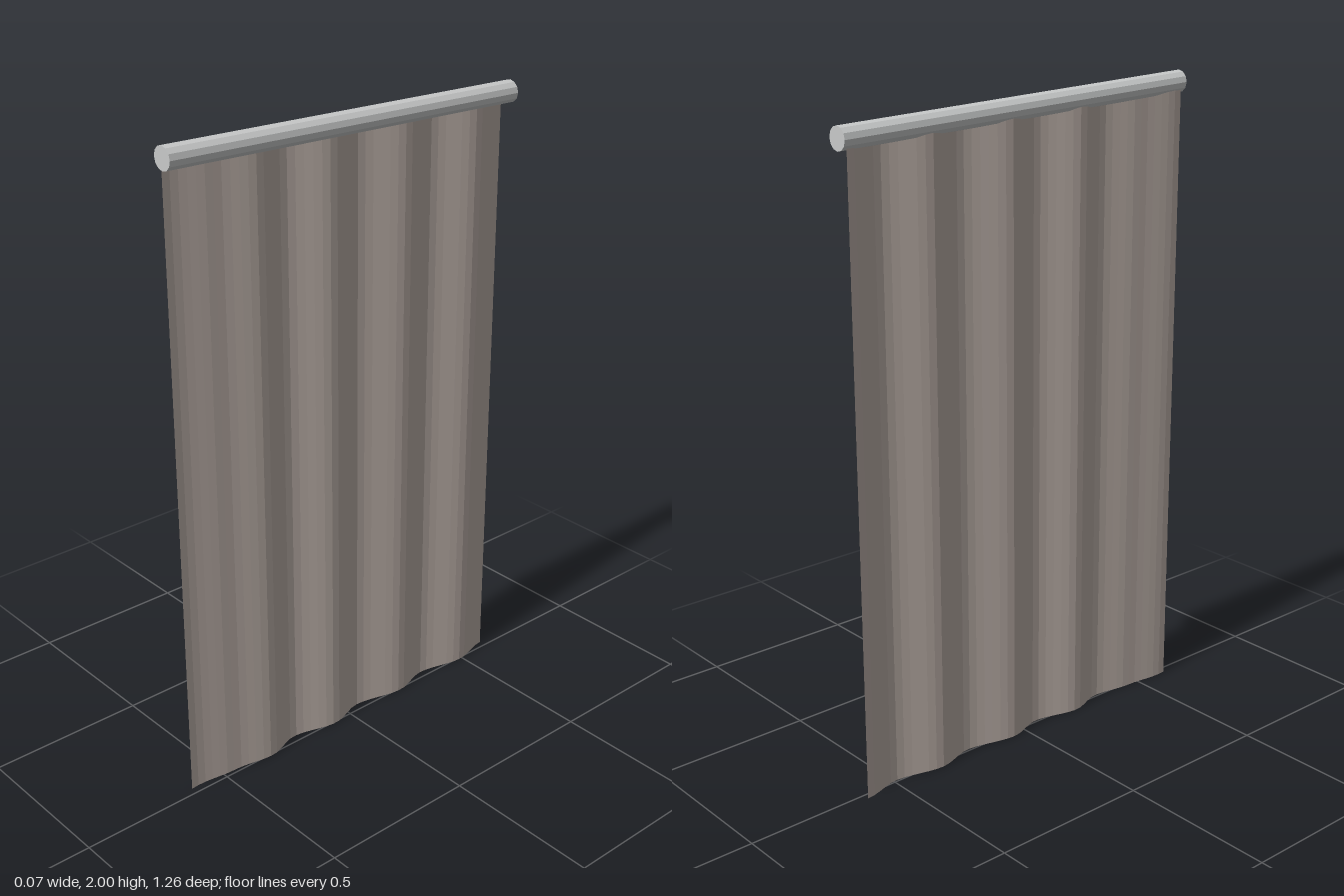
import * as THREE from 'three';

// Height of the sloping rod's axis at depth z
const rodY = (z) => 1.945 + 0.032 * z;

export function createModel() {
  const model = new THREE.Group();
  model.name = 'hangingCurtain';

  const metal = new THREE.MeshStandardMaterial({ color: 0xc8caca });
  metal.name = 'paleGreyMetal';
  metal.flatShading = true;
  const cloth = new THREE.MeshStandardMaterial({ color: 0xb9ada6, side: THREE.DoubleSide });
  cloth.name = 'beigeCloth';
  cloth.flatShading = true;

  // Rod: cylinder along z, sheared so its ends stay upright
  const rodGeo = new THREE.CylinderGeometry(0.034, 0.034, 1.256, 12).rotateX(Math.PI / 2);
  const rp = rodGeo.attributes.position;
  for (let i = 0; i < rp.count; i++) rp.setY(i, rp.getY(i) + rodY(rp.getZ(i)));
  rodGeo.computeVertexNormals();
  const rod = new THREE.Mesh(rodGeo, metal);
  rod.name = 'curtainRod';
  model.add(rod);

  // Cloth folds: crests and troughs as [z, x], seen from above
  const folds = [
    [-0.615, -0.022], [-0.49, 0.006], [-0.335, -0.024], [-0.215, 0.007],
    [-0.05, -0.025], [0.065, 0.007], [0.215, -0.025], [0.325, 0.007],
    [0.46, -0.012], [0.585, -0.025], [0.615, -0.023],
  ];
  const foldX = (z) => {
    let i = 0;
    while (i < folds.length - 2 && z > folds[i + 1][0]) i++;
    const [z0, x0] = folds[i];
    const [z1, x1] = folds[i + 1];
    return THREE.MathUtils.lerp(x0, x1, THREE.MathUtils.smoothstep(z, z0, z1));
  };

  // Curtain: plane with folds, level hem and a top that follows the rod
  const clothGeo = new THREE.PlaneGeometry(1.23, 1, 48, 1).rotateY(Math.PI / 2);
  const cp = clothGeo.attributes.position;
  for (let i = 0; i < cp.count; i++) {
    const z = cp.getZ(i);
    cp.setXYZ(i, foldX(z), cp.getY(i) > 0 ? rodY(z) : 0, z);
  }
  clothGeo.computeVertexNormals();
  const curtain = new THREE.Mesh(clothGeo, cloth);
  curtain.name = 'curtain';
  model.add(curtain);

  return model;
}
